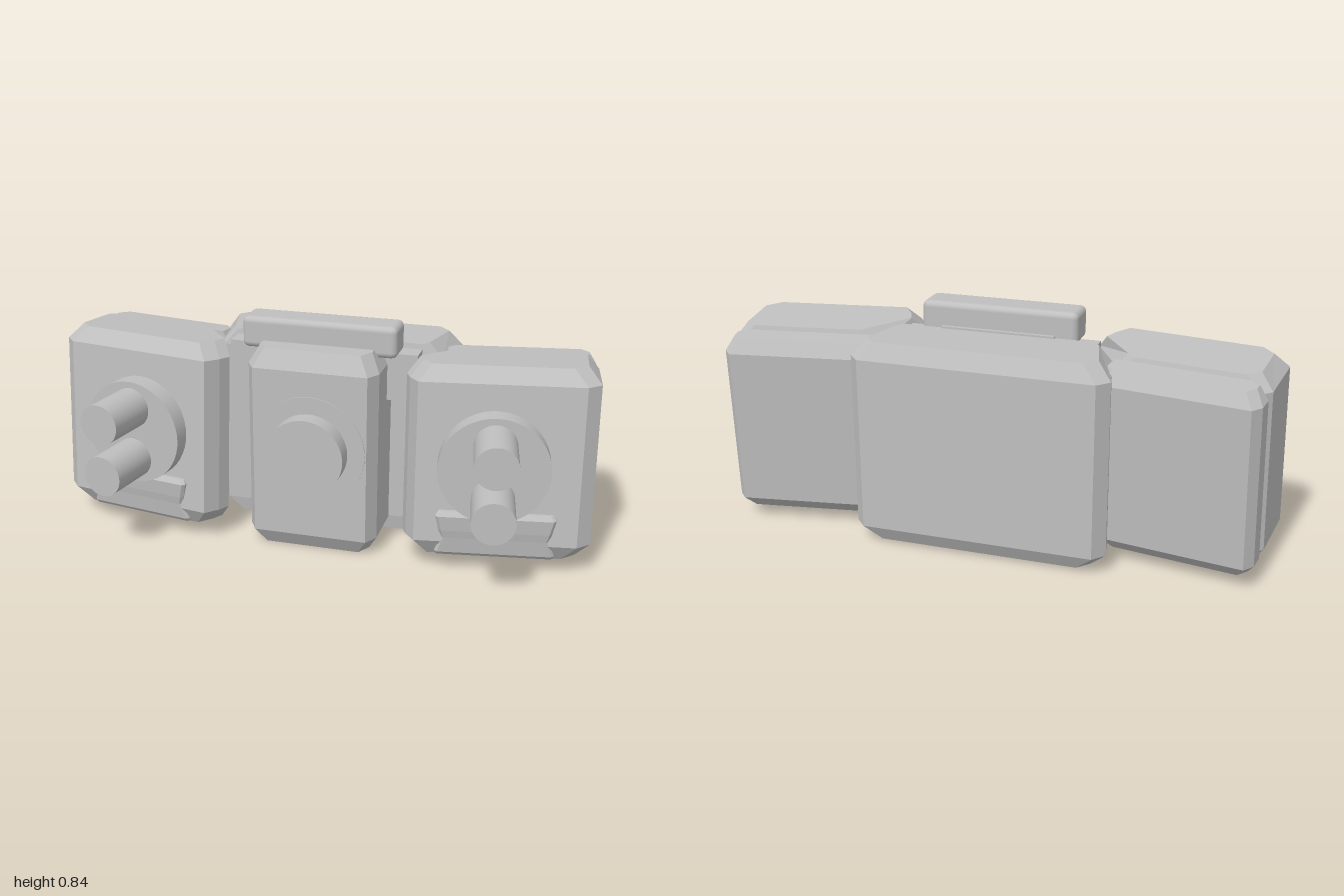
import * as THREE from 'three';
import { RoundedBoxGeometry } from 'three/addons/geometries/RoundedBoxGeometry.js';

// Stacks one convex outline ([x, z], counter-clockwise from above) over
// levels [y, side inset, front inset, back inset].
function loft(outline, levels) {
  const xs = outline.map(p => p[0]), zs = outline.map(p => p[1]);
  const cx = (Math.min(...xs) + Math.max(...xs)) / 2;
  const cz = (Math.min(...zs) + Math.max(...zs)) / 2;
  const rings = levels.map(([y, side, front, back]) => outline.map(([x, z]) => [
    x - Math.sign(x - cx) * side, y, z > cz ? z - front : z + back]));
  const pos = [], n = outline.length;
  const tri = (a, b, c) => pos.push(...a, ...b, ...c);
  for (let k = 0; k < rings.length - 1; k++) {
    for (let i = 0; i < n; i++) {
      const j = (i + 1) % n, lo = rings[k], hi = rings[k + 1];
      tri(lo[i], lo[j], hi[j]);
      tri(lo[i], hi[j], hi[i]);
    }
  }
  const bottom = rings[0], top = rings[rings.length - 1];
  for (let i = 1; i < n - 1; i++) {
    tri(top[0], top[i], top[i + 1]);
    tri(bottom[0], bottom[i + 1], bottom[i]);
  }
  const g = new THREE.BufferGeometry();
  g.setAttribute('position', new THREE.Float32BufferAttribute(pos, 3));
  g.computeVertexNormals();
  return g;
}

// Mirrors an outline in x, keeping its winding
const mirror = (outline, s) => s > 0 ? outline : outline.map(([x, z]) => [-x, z]).reverse();

export function createModel() {
  const model = new THREE.Group();
  model.name = 'tripleUnit';
  const grey = new THREE.MeshStandardMaterial({ color: 0xbfbfbf });
  grey.name = 'light grey';

  const add = (parent, name, geometry, x = 0, y = 0, z = 0) => {
    const m = new THREE.Mesh(geometry, grey);
    m.name = name;
    m.position.set(x, y, z);
    parent.add(m);
    return m;
  };
  // Cylinder along z between z0 and z1
  const rod = (parent, name, r, x, y, z0, z1) =>
    add(parent, name, new THREE.CylinderGeometry(r, r, z1 - z0, 48).rotateX(Math.PI / 2), x, y, (z0 + z1) / 2);

  // Central back block
  add(model, 'backBlock', loft(
    [[0.4, -0.11], [0.42, -0.14], [0.46, -0.34], [0.42, -0.385],
      [-0.42, -0.385], [-0.46, -0.34], [-0.42, -0.14], [-0.4, -0.11]],
    [[0.01, 0.06, 0.01, 0.03], [0.065, 0, 0, 0], [0.69, 0, 0, 0], [0.75, 0.05, 0.01, 0.03]]));

  // Central front block with its round button
  add(model, 'frontBlock', loft(
    [[0.21, 0.132], [0.24, 0.08], [0.24, -0.13], [-0.24, -0.13], [-0.24, 0.08], [-0.21, 0.132]],
    [[0, 0.035, 0.035, 0], [0.06, 0, 0, 0], [0.69, 0, 0, 0], [0.757, 0.035, 0.035, 0]]));
  rod(model, 'buttonRim', 0.205, 0, 0.395, 0.1, 0.136);
  rod(model, 'button', 0.142, 0, 0.395, 0.1, 0.205);

  // Top bar and the bridge behind it
  add(model, 'topBar', new RoundedBoxGeometry(0.57, 0.115, 0.133, 2, 0.022), 0, 0.783, -0.048);
  add(model, 'bridge', new THREE.BoxGeometry(0.7, 0.175, 0.12), 0, 0.643, -0.1);

  // Side pods, turned outward and leaning back
  const podOutline = [[0.275, 0.108], [0.325, 0.065], [0.335, -0.165], [0.3, -0.205],
    [-0.18, -0.205], [-0.21, -0.18], [-0.338, 0], [-0.325, 0.05], [-0.295, 0.108]];
  const plateOutline = [[0.305, -0.19], [0.335, -0.215], [0.335, -0.275], [0.31, -0.312],
    [-0.2, -0.312], [-0.23, -0.28], [-0.23, -0.19]];
  const bracketOutline = [[0.2, 0.142], [0.21, 0.132], [0.21, 0.04], [-0.21, 0.04], [-0.21, 0.132], [-0.2, 0.142]];

  for (const s of [1, -1]) {
    const pod = new THREE.Group();
    pod.name = s > 0 ? 'leftPod' : 'rightPod';
    pod.position.x = s * 0.665;
    pod.rotation.y = s * 0.165;
    model.add(pod);

    const body = new THREE.Group();
    body.name = 'podBody';
    body.position.y = 0.395;
    body.rotation.x = -0.068;
    pod.add(body);
    add(body, 'podFront', loft(mirror(podOutline, s),
      [[-0.345, 0.05, 0.04, 0.02], [-0.285, 0, 0, 0], [0.295, 0, 0, 0], [0.35, 0.045, 0.04, 0.02]]));
    add(body, 'podBackPlate', loft(mirror(plateOutline, s),
      [[-0.335, 0.03, 0, 0.035], [-0.29, 0, 0, 0], [0.285, 0, 0, 0], [0.335, 0.03, 0, 0.03]]));

    // Round mount with two barrels
    const x = s * -0.025;
    rod(pod, 'mount', 0.194, x, 0.41, 0.05, 0.168);
    for (const y of [0.31, 0.506]) rod(pod, 'barrel', 0.075, x, y, 0.15, 0.372);

    // Bracket under the mount, pinched at mid height
    add(pod, 'bracket', loft(bracketOutline,
      [[0.062, 0, 0.03, 0], [0.075, 0, 0.02, 0], [0.135, 0.02, 0.012, 0],
        [0.165, 0.012, 0.006, 0], [0.22, 0, 0, 0], [0.238, 0.012, 0.012, 0]]), s * -0.01);
  }
  return model;
}
